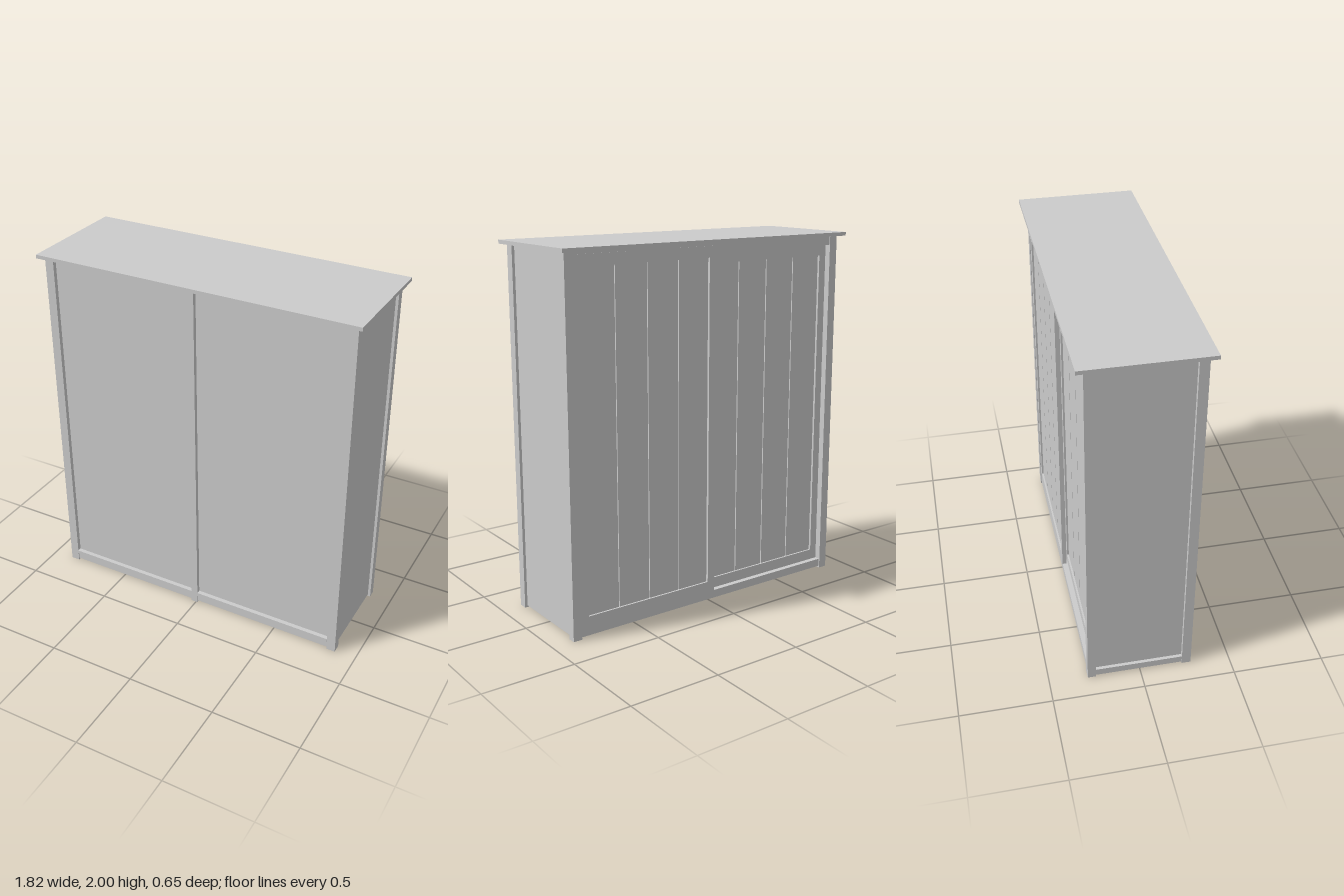
import * as THREE from 'three';

const material = new THREE.MeshStandardMaterial({ color: 0xcccccc });

// Box given by its min and max on each axis
function box(parent, name, x0, x1, y0, y1, z0, z1) {
  const mesh = new THREE.Mesh(new THREE.BoxGeometry(x1 - x0, y1 - y0, z1 - z0), material);
  mesh.position.set((x0 + x1) / 2, (y0 + y1) / 2, (z0 + z1) / 2);
  mesh.name = name;
  parent.add(mesh);
  return mesh;
}

// Framed door facing -z, with four upright boards set into the frame
function slidingDoor(name, x0, x1, y0, y1, z) {
  const door = new THREE.Group();
  door.name = name;
  const stile = 0.045, rail = 0.06, depth = 0.025, gap = 0.006, count = 4;
  const ix0 = x0 + stile, ix1 = x1 - stile, iy0 = y0 + rail, iy1 = y1 - rail;
  box(door, 'doorStile', x0, ix0, y0, y1, z, z + depth);
  box(door, 'doorStile', ix1, x1, y0, y1, z, z + depth);
  box(door, 'doorRail', ix0, ix1, y0, iy0, z, z + depth);
  box(door, 'doorRail', ix0, ix1, iy1, y1, z, z + depth);
  box(door, 'doorBacking', ix0, ix1, iy0, iy1, z + 0.017, z + depth);
  const pitch = (ix1 - ix0) / count;
  for (let i = 0; i < count; i++) {
    const a = ix0 + i * pitch;
    box(door, 'doorBoard', a + gap / 2, a + pitch - gap / 2, iy0, iy1, z + 0.01, z + 0.018);
  }
  return door;
}

export function createModel() {
  const model = new THREE.Group();
  model.name = 'cabinet';

  // Overhanging top
  box(model, 'top', -0.91, 0.91, 1.98, 2, -0.33, 0.32);

  // Corner posts and the middle post of the +z face
  for (const [x0, x1] of [[-0.88, -0.83], [0.83, 0.88]]) {
    box(model, 'cornerPost', x0, x1, 0, 1.98, 0.235, 0.285);
    box(model, 'cornerPost', x0, x1, 0, 1.98, -0.29, -0.245);
  }
  box(model, 'middlePost', -0.03, 0.01, 0, 1.98, 0.245, 0.285);

  // Inset panels, floor and side rail
  box(model, 'rightSidePanel', -0.86, -0.84, 0.01, 1.98, -0.25, 0.24);
  box(model, 'leftSidePanel', 0.84, 0.865, 0.01, 1.98, -0.25, 0.24);
  box(model, 'sideRail', -0.878, -0.85, 0.01, 0.05, -0.245, 0.235);
  box(model, 'floor', -0.84, 0.84, 0.05, 0.07, -0.245, 0.255);

  // Large panels with a low rail and a small ledge under each
  for (const [x0, x1] of [[-0.83, -0.03], [0.01, 0.83]]) {
    box(model, 'frontPanel', x0, x1, 0.06, 1.98, 0.245, 0.262);
    box(model, 'frontRail', x0, x1, 0.01, 0.05, 0.25, 0.279);
    box(model, 'frontLedge', x0, x1, 0.05, 0.07, 0.25, 0.286);
  }

  // Opening on the -z face with two doors running on separate tracks
  box(model, 'topRail', -0.83, 0.83, 1.93, 1.98, -0.285, -0.22);
  box(model, 'bottomRail', -0.83, 0.83, 0.01, 0.055, -0.285, -0.22);
  model.add(slidingDoor('outerDoor', -0.03, 0.83, 0.055, 1.965, -0.286));
  model.add(slidingDoor('innerDoor', -0.83, 0.025, 0.055, 1.93, -0.255));

  return model;
}
